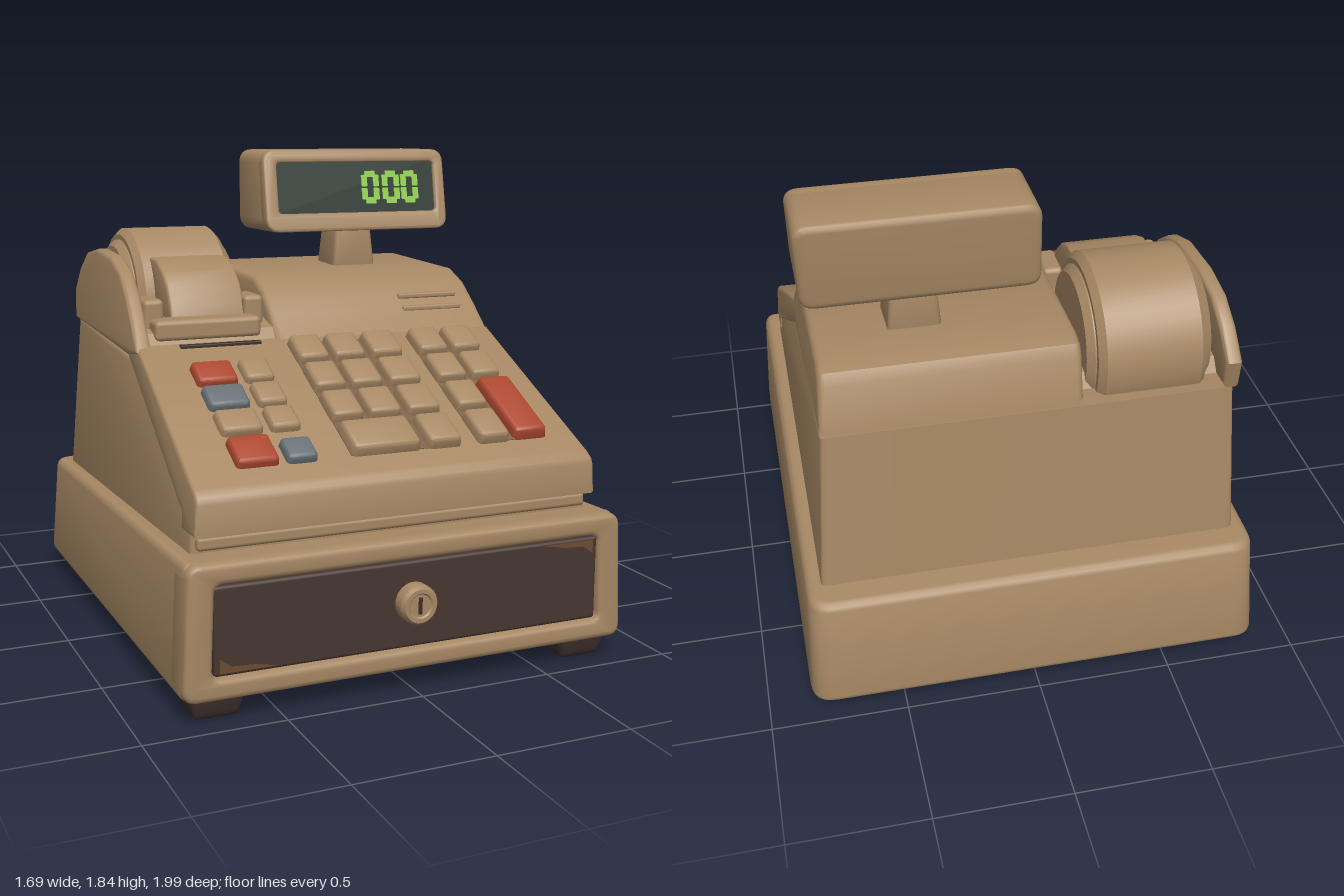
import * as THREE from 'three';
import { toCreasedNormals } from 'three/addons/utils/BufferGeometryUtils.js';
import { RoundedBoxGeometry } from 'three/addons/geometries/RoundedBoxGeometry.js';

const material = (name, color) => Object.assign(new THREE.MeshStandardMaterial({ color }), { name });
const tan = material('tan casing', 0xa78864);
const shade = material('grimy brown', 0x7d6249);
const dark = material('foot brown', 0x3a2d28);
const drawerBrown = material('drawer brown', 0x46352f);
const worn = material('worn brown', 0x6b4c30);
const red = material('key red', 0xab472f);
const slate = material('key slate', 0x667075);
const screenGreen = material('screen green', 0x13281d);
const digitGreen = material('digit green', 0x8ccb42);

// Applies a rule to every vertex, then rebuilds the normals
function warp(geo, rule) {
  const p = geo.attributes.position, v = new THREE.Vector3();
  for (let i = 0; i < p.count; i++) {
    rule(v.fromBufferAttribute(p, i));
    p.setXYZ(i, v.x, v.y, v.z);
  }
  return toCreasedNormals(geo, 0.65);
}

// Rounded rectangle; the two upper corners may have their own radius
function roundRect(x0, y0, x1, y1, r, Type = THREE.Shape, top = r) {
  const s = new Type();
  s.moveTo(x0 + r, y0);
  s.lineTo(x1 - r, y0); s.quadraticCurveTo(x1, y0, x1, y0 + r);
  s.lineTo(x1, y1 - top); s.quadraticCurveTo(x1, y1, x1 - top, y1);
  s.lineTo(x0 + top, y1); s.quadraticCurveTo(x0, y1, x0, y1 - top);
  s.lineTo(x0, y0 + r); s.quadraticCurveTo(x0, y0, x0 + r, y0);
  return s;
}

// Extrusion running from z0 to z1, its bevel kept inside the outline
function extrude(shape, z0, z1, bevel = 0, thick = bevel) {
  const geo = new THREE.ExtrudeGeometry(shape, {
    depth: z1 - z0 - 2 * thick, bevelEnabled: bevel > 0, bevelSize: bevel, bevelThickness: thick,
    bevelOffset: -bevel, bevelSegments: 3, curveSegments: 6,
  });
  return geo.translate(0, 0, z0 + thick);
}

// Side profile of [z, y] points, swept across x
function sweep(points, x0, x1, bevel = 0.02) {
  const shape = new THREE.Shape(points.map(([z, y]) => new THREE.Vector2(z, y)));
  return extrude(shape, -x1, -x0, bevel).rotateY(-Math.PI / 2);
}

const bodyTaper = (v) => { v.x *= 1 - 0.085 * (v.y - 0.6); };
const baseTaper = (v) => {
  const t = (v.y - 0.08) / 0.47;
  v.x *= 1 - 0.025 * t;
  if (v.z < 0) v.z *= 1 - 0.06 * t;
  v.y -= 0.05 * t * (0.95 - v.z) / 1.9;
};

export function createModel() {
  const model = new THREE.Group();
  model.name = 'cashRegister';
  const add = (name, geo, mat, parent = model) => {
    const mesh = new THREE.Mesh(geo, mat);
    mesh.name = name;
    parent.add(mesh);
    return mesh;
  };
  const box = (name, mat, x, y, z, w, h, d, r = 0.015, parent = model) => {
    const mesh = add(name, new RoundedBoxGeometry(w, h, d, 2, Math.min(r, w / 2, h / 2, d / 2)), mat, parent);
    mesh.position.set(x, y, z);
    return mesh;
  };

  // Base tray, with a framed opening for the drawer
  const trayShape = roundRect(-0.845, -0.915, 0.845, 1, 0.02, THREE.Shape, 0.09);
  add('baseTray', warp(extrude(trayShape, 0.08, 0.55, 0.03).rotateX(-Math.PI / 2), baseTaper), tan);
  const frame = roundRect(-0.845, 0.08, 0.845, 0.55, 0.05);
  frame.holes.push(roundRect(-0.745, 0.155, 0.745, 0.475, 0.03, THREE.Path));
  add('drawerFrame', warp(extrude(frame, 0.8, 0.95, 0.02), baseTaper), tan);
  for (const sx of [-1, 1]) for (const z of [0.81, -0.765]) {
    const geo = warp(new RoundedBoxGeometry(0.2, 0.11, 0.21, 2, 0.025), (v) => {
      if (v.y < 0) { v.x *= 0.85; v.z *= 0.85; }
    });
    add('foot', geo, dark).position.set(sx * 0.71, 0.055, z);
  }

  // Drawer, worn corners and lock
  box('drawer', drawerBrown, 0, 0.315, 0.92, 1.47, 0.31, 0.04, 0.012);
  for (const [x, y, s] of [[0.715, 0.458, -1], [-0.715, 0.172, 1]]) {
    const chip = new THREE.Shape();
    chip.moveTo(0, 0);
    chip.lineTo(s * 0.2, 0); chip.lineTo(s * 0.12, s * 0.016); chip.lineTo(s * 0.04, s * 0.02); chip.lineTo(0, s * 0.05);
    add('wornPatch', extrude(chip, 0.938, 0.942), worn).position.set(x, y, 0);
  }
  const lock = new THREE.LatheGeometry(
    [[0.07, 0], [0.07, 0.045], [0.06, 0.06], [0.045, 0.06], [0.04, 0.054], [0, 0.054]].map(([r, h]) => new THREE.Vector2(r, h)), 28);
  add('lock', toCreasedNormals(lock.rotateX(Math.PI / 2), 0.6), tan).position.set(-0.01, 0.325, 0.938);
  box('keyhole', dark, -0.01, 0.325, 0.993, 0.014, 0.06, 0.006, 0.002);

  // Lower body, with the overlapping upper shell
  add('lowerBody', warp(sweep([[0.81, 0.48], [0.81, 0.64], [0.74, 0.72], [0.05, 1.08], [-0.785, 1.135], [-0.835, 0.48]],
    -0.764, 0.764), bodyTaper), tan);
  add('keyboardShell', warp(sweep([[0.86, 0.61], [0.86, 0.72], [0.852, 0.742], [0.82, 0.765], [0.12, 1.13], [-0.795, 1.15],
    [-0.8, 1.13], [0, 1.085], [0.71, 0.665], [0.715, 0.61]], -0.77, 0.77, 0.012), bodyTaper), tan);
  box('frontLedge', tan, 0, 0.58, 0.8, 1.5, 0.05, 0.06);
  add('topHousing', warp(sweep([[0.16, 1.1], [0.12, 1.13], [0.03, 1.22], [-0.06, 1.3], [-0.16, 1.345], [-0.68, 1.365],
    [-0.74, 1.35], [-0.765, 1.31], [-0.8, 1.135], [0, 1.09]], -0.19, 0.77, 0.024), bodyTaper), tan);
  add('printerWall', warp(sweep([[0.14, 1.11], [0.08, 1.18], [-0.04, 1.31], [-0.14, 1.38], [-0.28, 1.43], [-0.5, 1.445],
    [-0.65, 1.42], [-0.75, 1.35], [-0.83, 1.25], [-0.8, 1.13], [0, 1.09]], -0.778, -0.715, 0.016), bodyTaper), tan);

  // Receipt printer: roll cover, end caps, paper chute and tear bar
  const printer = new THREE.Group();
  printer.name = 'receiptPrinter';
  model.add(printer);
  for (const [name, r, x0, x1] of [['rollCover', 0.295, -0.625, -0.235], ['rollEndCaps', 0.25, -0.655, -0.205]]) {
    const h = (x1 - x0) / 2;
    const geo = new THREE.LatheGeometry(
      [[0, -h], [r - 0.025, -h], [r, -h + 0.025], [r, h - 0.025], [r - 0.025, h], [0, h]].map(([a, b]) => new THREE.Vector2(a, b)), 40);
    add(name, toCreasedNormals(geo.rotateZ(Math.PI / 2), 0.5), tan, printer).position.set((x0 + x1) / 2, 1.23, -0.5);
  }
  add('printerBed', sweep([[0.1, 1.12], [0.06, 1.17], [-0.2, 1.24], [-0.7, 1.2], [-0.75, 1.12]], -0.72, -0.17, 0.01), tan, printer);
  add('paperChute', toCreasedNormals(sweep([[0, 1.2], [-0.02, 1.26], [-0.06, 1.33], [-0.12, 1.385], [-0.2, 1.42],
    [-0.3, 1.425], [-0.3, 1.2]], -0.565, -0.265, 0.01), 0.6), tan, printer);
  box('tearBar', tan, -0.445, 1.18, 0.03, 0.42, 0.08, 0.12, 0.02, printer);
  for (const x of [-0.635, -0.235]) box('chuteCheek', tan, x, 1.23, -0.07, 0.08, 0.12, 0.16, 0.02, printer);
  box('paperSlot', dark, -0.415, 1.122, 0.125, 0.32, 0.02, 0.03, 0.004, printer);

  // Slot with two lips on the housing's sloping front
  for (const [y, z] of [[1.21, 0.025], [1.255, -0.02]]) {
    box('slotLip', tan, 0.52, y, z, 0.26, 0.022, 0.05, 0.008);
    box('slotGap', dark, 0.52, y - 0.017, z + 0.005, 0.23, 0.012, 0.035, 0.003);
  }

  // Keys, each lying on the sloping panel
  const panelY = (z) => 0.765 + 0.521 * (0.82 - z);
  const slope = Math.atan(0.521);
  const keys = new THREE.Group();
  keys.name = 'keys';
  model.add(keys);
  function key(x0, x1, z0, z1, mat = tan, lift = 0.003) {
    const z = (z0 + z1) / 2;
    const geo = new RoundedBoxGeometry(x1 - x0, 0.08, (z1 - z0) / Math.cos(slope), 2, 0.018);
    const mesh = add('key', warp(geo, (v) => { if (v.y > 0) { v.x *= 0.92; v.z *= 0.92; } }), mat, keys);
    mesh.rotation.x = slope;
    mesh.position.set((x0 + x1) / 2, panelY(z) + lift, z);
  }
  function keyWell(x0, x1, z0, z1) {
    const z = (z0 + z1) / 2;
    const mesh = box('keyWell', shade, (x0 + x1) / 2, panelY(z), z, x1 - x0, 0.008, (z1 - z0) / Math.cos(slope), 0.003, keys);
    mesh.rotation.x = slope;
  }
  const rows = [[0.14, 0.275], [0.29, 0.43], [0.445, 0.585], [0.6, 0.75]];
  const leftRows = [[0.235, 0.35], [0.36, 0.475], [0.485, 0.6], [0.615, 0.75]];
  const leftColours = [[red, tan], [slate, tan], [tan, tan], [red, slate]];
  leftRows.forEach(([a, b], i) => {
    key(-0.585, -0.42, a, b, leftColours[i][0], -0.008);
    key(-0.4, -0.28, i === 3 ? 0.645 : a, b, leftColours[i][1], -0.008);
  });
  rows.forEach(([a, b], i) => {
    if (i < 3) { key(-0.16, -0.03, a, b); key(-0.015, 0.12, a, b); } else key(-0.16, 0.12, a, b);
    key(0.14, 0.28, a, b);
    key(0.345, 0.475, a, b);
    if (i < 2) key(0.49, 0.62, a, b);
  });
  key(0.49, 0.635, 0.435, 0.75, red);
  keyWell(-0.155, 0.275, 0.15, 0.74);
  keyWell(0.35, 0.62, 0.15, 0.74);

  // Customer display: z runs from 0 at its back to 1 at its leaning front
  const display = new THREE.Group();
  display.name = 'display';
  model.add(display);
  const lean = (v) => {
    const t = (v.y - 1.51) / 0.32;
    v.z = THREE.MathUtils.lerp(-0.6 - 0.035 * t, -0.255 - 0.085 * t, v.z);
    v.x += 0.012 * (t - 0.5);
  };
  const addLeaning = (name, geo, mat) => add(name, warp(geo, lean), mat, display);
  addLeaning('displayCase', extrude(roundRect(-0.068, 1.505, 0.755, 1.835, 0.055), 0, 0.93, 0.025, 0.07), tan);
  const bezel = roundRect(-0.068, 1.505, 0.755, 1.835, 0.055);
  bezel.holes.push(roundRect(-0.01, 1.578, 0.706, 1.785, 0.02, THREE.Path));
  addLeaning('displayBezel', extrude(bezel, 0.8, 1, 0.012, 0.035), tan);
  addLeaning('screen', extrude(roundRect(-0.025, 1.565, 0.715, 1.795, 0.01), 0.931, 0.95), screenGreen);
  for (const cx of [0.41, 0.505, 0.592]) {
    for (const s of [-1, 1]) {
      const y = 1.68 + s * 0.054, x = cx + s * 0.027;
      addLeaning('digitBar', extrude(roundRect(cx - 0.024, y - 0.013, cx + 0.024, y + 0.013, 0.004), 0.951, 0.965), digitGreen);
      for (const h of [-0.027, 0.027]) {
        addLeaning('digitBar', extrude(roundRect(x - 0.013, 1.656 + h, x + 0.013, 1.704 + h, 0.004), 0.951, 0.965), digitGreen);
      }
    }
  }
  add('displayNeck', warp(new RoundedBoxGeometry(0.16, 0.2, 0.16, 2, 0.015), (v) => {
    if (v.y < 0) { v.x *= 1.2; v.z *= 1.15; }
  }), tan, display).position.set(0.36, 1.43, -0.45);
  return model;
}
